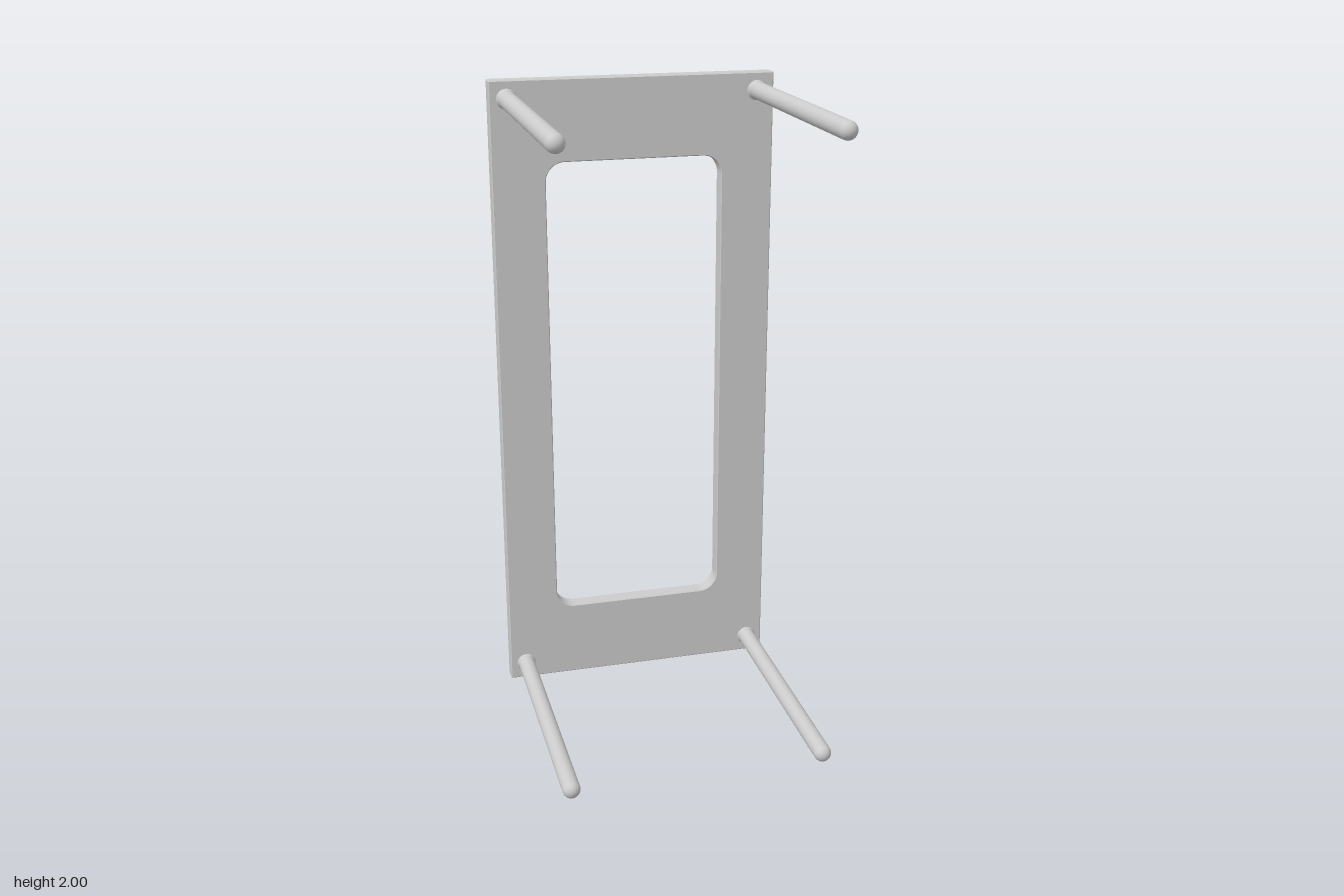
import * as THREE from 'three';

const WIDTH = 0.886, HEIGHT = 2, BACK = -0.43, FRONT = -0.378, TIP = 0.43;
const PEG_RADIUS = 0.027, PEG_X = 0.39, PEG_INSET = 0.055;

// Rounded rectangle centred on the origin
function roundedRect(path, w, h, r) {
  const x = w / 2 - r, y = h / 2 - r;
  path.absarc(x, y, r, 0, Math.PI / 2);
  path.absarc(-x, y, r, Math.PI / 2, Math.PI);
  path.absarc(-x, -y, r, Math.PI, Math.PI * 1.5);
  path.absarc(x, -y, r, Math.PI * 1.5, Math.PI * 2);
  path.closePath();
  return path;
}

export function createModel() {
  const group = new THREE.Group();
  const material = new THREE.MeshStandardMaterial({ color: 0xcccccc });

  // Upright panel with a rounded window and slightly eased edges
  const outline = roundedRect(new THREE.Shape(), WIDTH, HEIGHT, 0.004);
  outline.holes.push(roundedRect(new THREE.Path(), 0.556, 1.5, 0.06));
  const bevel = 0.003;
  const panelGeometry = new THREE.ExtrudeGeometry(outline, {
    depth: FRONT - BACK - 2 * bevel, curveSegments: 10,
    bevelThickness: bevel, bevelSize: bevel, bevelOffset: -bevel, bevelSegments: 1,
  });
  const panel = new THREE.Mesh(panelGeometry, material);
  panel.name = 'panel';
  panel.position.set(0, HEIGHT / 2, BACK + bevel);
  group.add(panel);

  // Peg profile: small fillet at the panel, straight shaft, domed tip
  const length = TIP - FRONT;
  const profile = [[0.031, -0.005], [0.031, 0], [0.028, 0.003], [PEG_RADIUS, 0.007]]
    .map(([r, y]) => new THREE.Vector2(r, y));
  for (let i = 0; i <= 10; i++) {
    const a = (i / 10) * Math.PI / 2;
    profile.push(new THREE.Vector2(
      i === 10 ? 0 : PEG_RADIUS * Math.cos(a),
      length - PEG_RADIUS + PEG_RADIUS * Math.sin(a)));
  }
  const pegGeometry = new THREE.LatheGeometry(profile, 32);
  pegGeometry.rotateX(Math.PI / 2);

  // One peg in each corner
  for (const [side, x] of [['left', PEG_X], ['right', -PEG_X]]) {
    for (const [level, y] of [['Lower', PEG_INSET], ['Upper', HEIGHT - PEG_INSET]]) {
      const peg = new THREE.Mesh(pegGeometry, material);
      peg.name = `${side}${level}Peg`;
      peg.position.set(x, y, FRONT);
      group.add(peg);
    }
  }
  return group;
}
